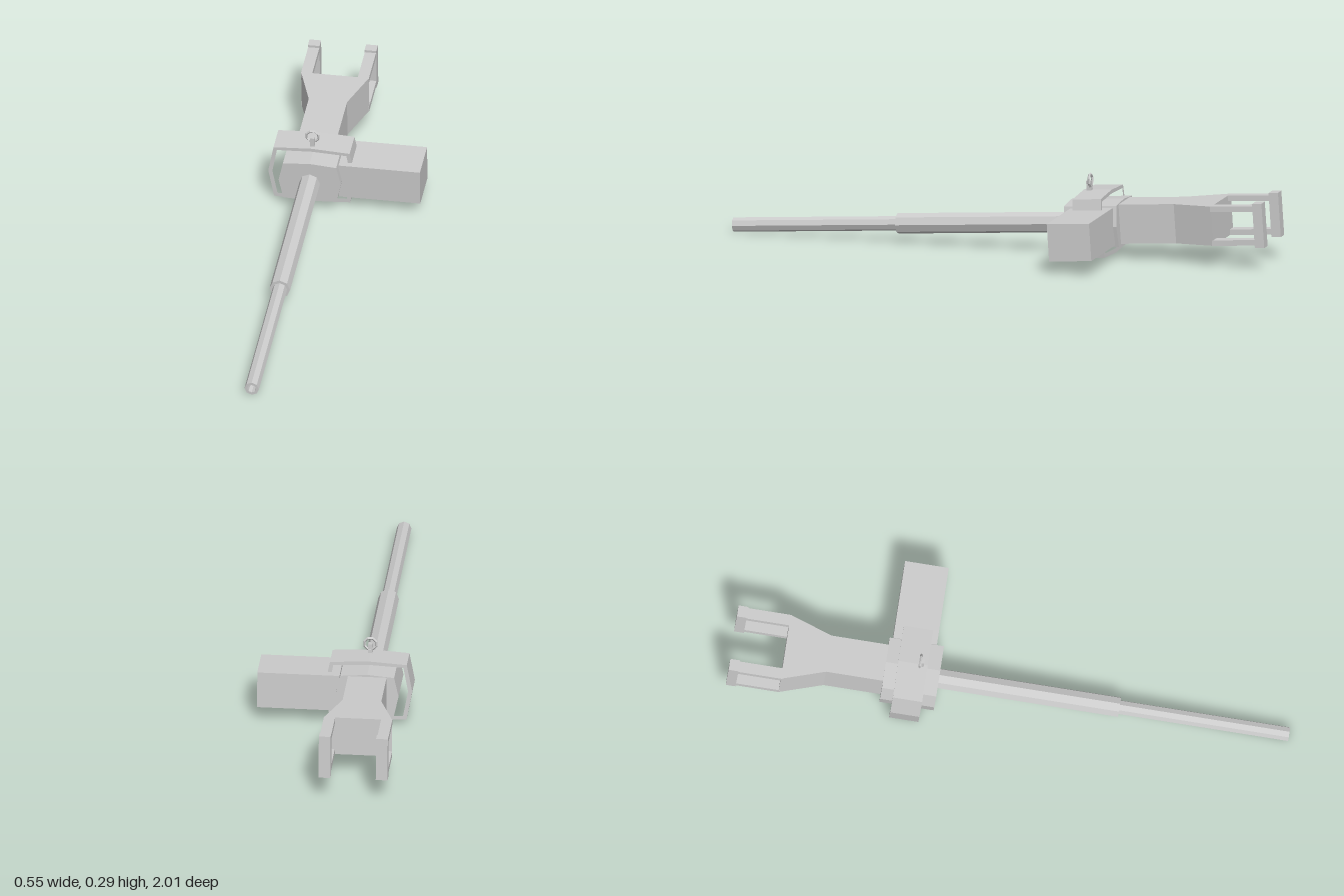
import * as THREE from 'three';

export function createModel() {
  const root = new THREE.Group();
  root.name = 'mountedGun';
  const mat = new THREE.MeshStandardMaterial({ color: 0xcccccc, flatShading: true });

  // Everything shares the slightly nose-down barrel axis
  const gun = new THREE.Group();
  gun.name = 'tiltedGun';
  gun.position.set(-0.118, 0.094, 0);
  gun.rotation.x = 0.066;
  root.add(gun);

  const add = (name, geo, x = 0, y = 0, z = 0) => {
    const m = new THREE.Mesh(geo, mat);
    m.name = name;
    m.position.set(x, y, z);
    gun.add(m);
    return m;
  };
  const box = (w, h, d) => new THREE.BoxGeometry(w, h, d);
  const toPoints = pts => pts.map(([x, y]) => new THREE.Vector2(x, y));
  // Right half (top to bottom) mirrored into a closed outline
  const mirrored = half => toPoints([...half, ...half.slice(1, -1).reverse().map(([x, y]) => [-x, y])]);
  const extrude = (shape, depth) => new THREE.ExtrudeGeometry(shape, { depth, bevelEnabled: false });

  // Stepped eight-sided barrel with hollow muzzle
  const barrel = new THREE.LatheGeometry(toPoints([
    [0, -0.28], [0.037, -0.28], [0.037, 0.39], [0.026, 0.39],
    [0.026, 1], [0.016, 1], [0.016, 0.93], [0, 0.93],
  ]), 8);
  barrel.rotateX(Math.PI / 2);
  add('barrel', barrel);

  // Receiver with bulged sides
  const receiver = new THREE.Shape(mirrored([
    [0, 0.083], [0.096, 0.075], [0.112, 0.003], [0.096, -0.073], [0, -0.078],
  ]));
  add('receiver', extrude(receiver, 0.195), 0, 0, -0.455);

  // Open band around the receiver
  const band = new THREE.Shape(mirrored([
    [0, 0.116], [0.137, 0.108], [0.157, 0.005], [0.137, -0.104], [0, -0.112],
  ]));
  band.holes.push(new THREE.Path(mirrored([
    [0, 0.103], [0.125, 0.097], [0.142, 0.005], [0.125, -0.09], [0, -0.096],
  ])));
  add('mountBand', extrude(band, 0.105), 0, 0, -0.412);

  // Sight: post and eight-sided ring
  add('sightPost', box(0.016, 0.038, 0.018), 0, 0.131, -0.33);
  const ring = new THREE.TorusGeometry(0.0225, 0.0048, 4, 8);
  ring.rotateZ(Math.PI / 8);
  add('sightRing', ring, 0, 0.151, -0.335);

  // Ammunition box on the left side
  add('ammoBox', box(0.293, 0.135, 0.157), 0.2465, 0.001, -0.364);

  // Stock: plan outline flaring toward the rear fork
  const plan = new THREE.Shape(mirrored([
    [0, 0.43], [0.069, 0.43], [0.069, 0.66], [0.122, 0.815], [0, 0.815],
  ].reverse()));
  const stock = extrude(plan, 0.142);
  stock.rotateX(Math.PI / 2).translate(0, 0.075, 0);
  stock.scale(1, 1, -1);
  // Mirroring in z flips the faces, so reverse each triangle
  const p = stock.attributes.position;
  for (let i = 0; i < p.count; i += 3) {
    const a = new THREE.Vector3().fromBufferAttribute(p, i);
    p.setXYZ(i, p.getX(i + 1), p.getY(i + 1), p.getZ(i + 1));
    p.setXYZ(i + 1, a.x, a.y, a.z);
  }
  stock.computeVertexNormals();
  add('stock', stock);

  // Fork grips: rails closed by a taller end plate
  for (const s of [1, -1]) {
    const x = s * 0.102, side = s > 0 ? 'left' : 'right';
    add(side + 'UpperRail', box(0.04, 0.02, 0.165), x, 0.065, -0.8925);
    add(side + 'LowerRail', box(0.04, 0.02, 0.165), x, -0.057, -0.8925);
    add(side + 'EndPlate', box(0.042, 0.16, 0.035), x, 0.004, -0.9855);
  }
  return root;
}
